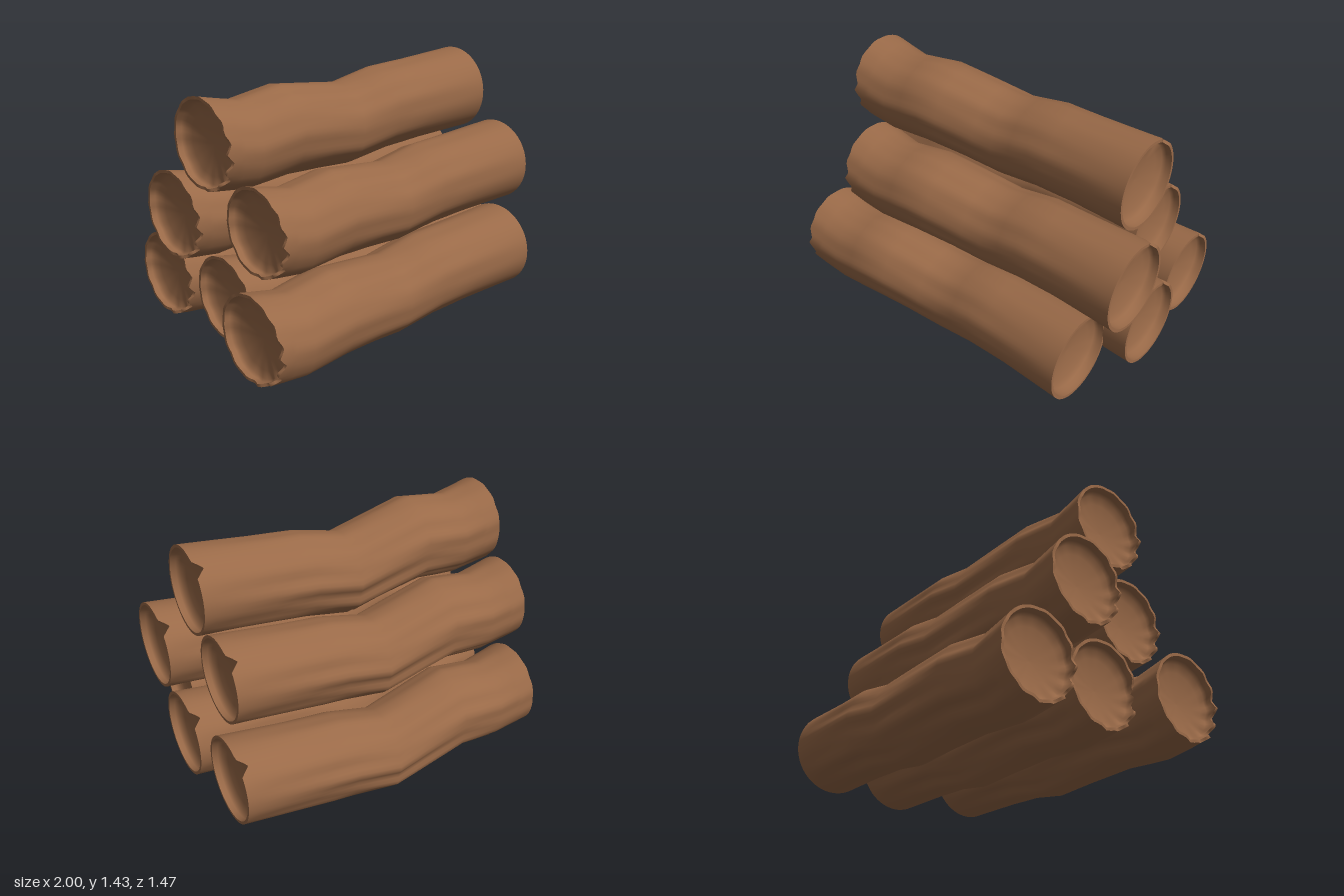
import * as THREE from 'three';

const LENGTH = 1.82, SIDES = 64, WALL = 0.016;

// Bent log: position along the log, centre height, centre depth, radius
const STATIONS = [
  [0, -0.005, -0.002, 0.238], [0.22, -0.045, -0.002, 0.228], [0.48, -0.015, -0.004, 0.236],
  [0.72, -0.048, -0.037, 0.23], [0.95, -0.083, -0.067, 0.227], [1.2, -0.037, -0.053, 0.233],
  [1.44, -0.022, -0.035, 0.232], [1.82, 0, 0, 0.24],
];

function axisAt(s) {
  let i = 0;
  while (i < STATIONS.length - 2 && s > STATIONS[i + 1][0]) i++;
  const a = STATIONS[i], b = STATIONS[i + 1];
  const t = THREE.MathUtils.clamp((s - a[0]) / (b[0] - a[0]), 0, 1);
  return [1, 2, 3].map(k => a[k] + (b[k] - a[k]) * t);
}

// How far an angle faces a given side, 0 to 1 (0 is up, a quarter turn is the front)
const facing = (a, side) => Math.max(0, Math.cos(a - side));

// Lengthwise bark ripples, strongest low and at the back, dying out at the clean end
function ripple(s, a) {
  const side = 0.3 + 0.7 * facing(a, -2.2);
  const fade = Math.min(1, (LENGTH - s) / 0.5) * Math.min(1, 0.3 + s * 2);
  return 0.008 * side * fade * (Math.sin(9 * a + 2.2 * s) + 0.7 * Math.sin(14 * a - 3 * s + 1));
}

// Splintered edge of the broken end: large teeth at the lower front, small nicks elsewhere
function splinter(a) {
  const tooth = Math.abs(((a * 14) / (2 * Math.PI) % 1) * 2 - 1);
  return tooth * (0.006 + 0.045 * facing(a, 2.1) ** 2);
}

// One V-shaped split in the clean end, high at the back
const split = a => -0.05 * Math.max(0, 1 - Math.abs(a - 2 * Math.PI + 0.68) / 0.2);

// Skin through rings; each ring is { s, inset, scale, jag, cut }
function loft(rings) {
  const pos = [], index = [];
  for (const { s, inset = 0, scale = 1, jag = 0, cut = 0 } of rings) {
    const [cy, cz, r] = axisAt(s);
    for (let j = 0; j < SIDES; j++) {
      const a = (j / SIDES) * Math.PI * 2;
      const rr = (r + ripple(s, a) - inset) * scale;
      const x = s + jag * splinter(a) + cut * split(a) - LENGTH / 2;
      pos.push(x, cy + rr * Math.cos(a), cz + rr * Math.sin(a));
    }
  }
  for (let i = 0; i < rings.length - 1; i++) {
    for (let j = 0; j < SIDES; j++) {
      const k = (j + 1) % SIDES;
      const a = i * SIDES + j, b = i * SIDES + k, c = a + SIDES, d = b + SIDES;
      index.push(a, b, c, b, d, c);
    }
  }
  const g = new THREE.BufferGeometry();
  g.setAttribute('position', new THREE.Float32BufferAttribute(pos, 3));
  g.setIndex(index);
  g.computeVertexNormals();
  return g;
}

// Shallow dished face of each end: inner lip, then a gently sunken disc
const DISH = [[0, 1], [0.03, 0.985], [0.05, 0.93], [0.064, 0.75], [0.074, 0.5], [0.08, 0.25], [0.082, 0.001]];
function dish(clean) {
  const rings = DISH.map(([depth, scale], i) => {
    const edge = Math.max(0, 1 - i / 3);
    return {
      s: clean ? LENGTH - depth : depth, inset: WALL, scale,
      jag: clean ? 0 : edge, cut: clean ? edge : 0,
    };
  });
  return loft(clean ? rings : rings.reverse());
}

export function createModel() {
  const model = new THREE.Group();
  model.name = 'logPile';
  const bark = new THREE.MeshStandardMaterial({ color: 0x9a6a48, side: THREE.DoubleSide });

  // Bark rings at the bends and between them
  const barkRings = [{ s: 0, jag: 1 }, { s: 0.08 }];
  for (let i = 0; i < STATIONS.length - 1; i++) {
    const a = STATIONS[i][0], b = STATIONS[i + 1][0];
    for (let k = i ? 0 : 1; k < 2; k++) barkRings.push({ s: a + ((b - a) * k) / 2 });
  }
  barkRings.push({ s: LENGTH - 0.06 }, { s: LENGTH, cut: 1 });

  const parts = {
    bark: loft(barkRings),
    cleanRim: loft([{ s: LENGTH, cut: 1 }, { s: LENGTH, inset: WALL, cut: 1 }]),
    cleanFace: dish(true),
    brokenRim: loft([{ s: 0, inset: WALL, jag: 1 }, { s: 0, jag: 1 }]),
    brokenFace: dish(false),
  };

  // Stack of three, two and one: x, y, z of each log
  const places = [
    ['bottomFrontLog', -0.09, 0.322, 0.495], ['bottomMiddleLog', 0.06, 0.322, 0.05],
    ['bottomBackLog', 0.005, 0.322, -0.435], ['middleFrontLog', 0.09, 0.77, 0.305],
    ['middleBackLog', -0.08, 0.77, -0.185], ['topLog', -0.035, 1.195, 0.053],
  ];
  for (const [name, x, y, z] of places) {
    const log = new THREE.Group();
    log.name = name;
    for (const [part, geometry] of Object.entries(parts)) {
      const mesh = new THREE.Mesh(geometry, bark);
      mesh.name = part;
      log.add(mesh);
    }
    log.position.set(x, y, z);
    model.add(log);
  }
  return model;
}
